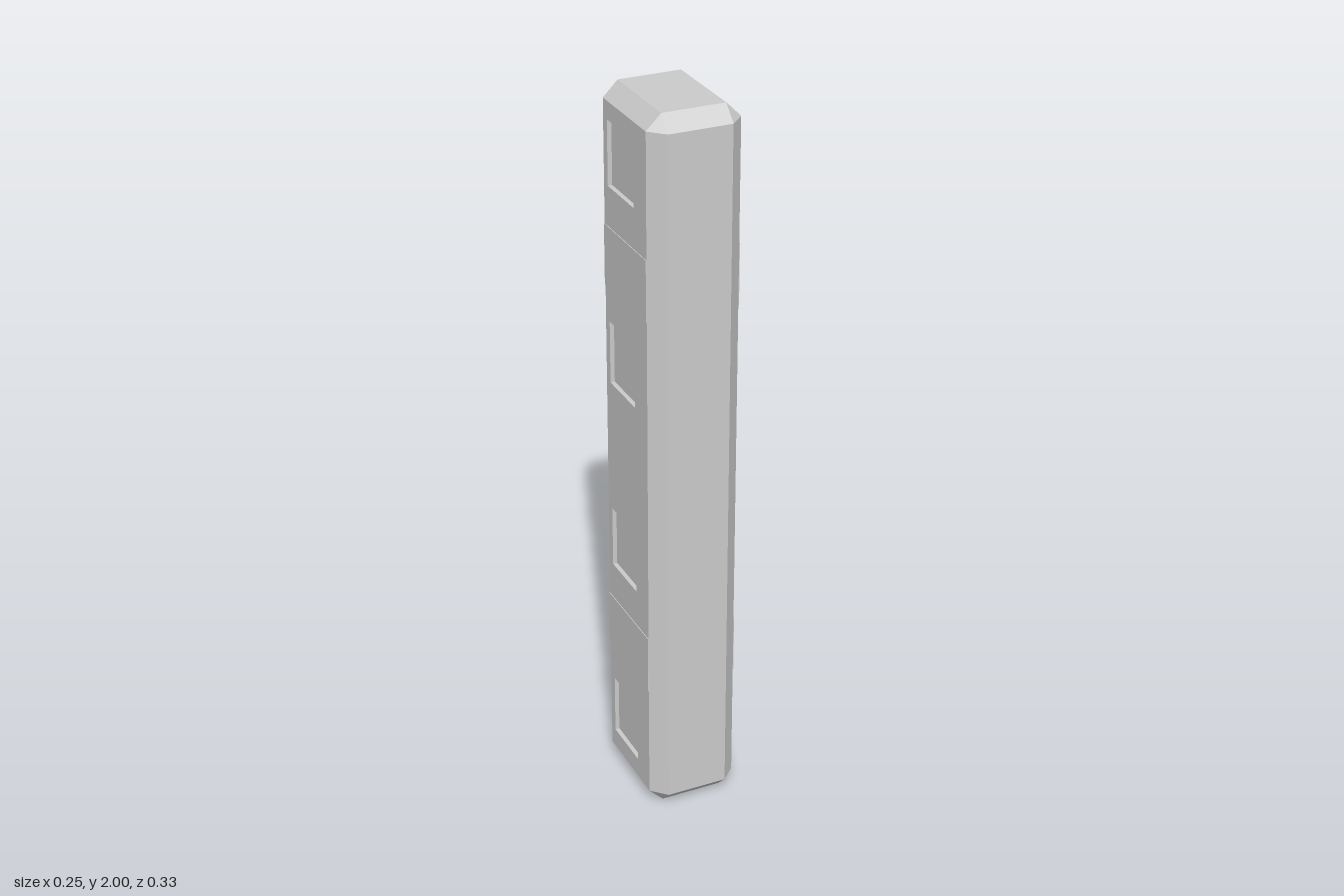
import * as THREE from 'three';
import { ConvexGeometry } from 'three/addons/geometries/ConvexGeometry.js';

const HX = 0.125, HZ = 0.167, HEIGHT = 2, BEVEL = 0.04;
const POCKET = { z: -0.026, width: 0.156, height: 0.174, depth: 0.012 };
const POCKET_Y = [0.183, 0.729, 1.279, 1.825];
const PLATE_Y = [0.454, 1.546];

const material = new THREE.MeshStandardMaterial({ color: 0xcccccc, flatShading: true });

function addMesh(parent, name, geometry) {
  const mesh = new THREE.Mesh(geometry, material);
  mesh.name = name;
  parent.add(mesh);
  return mesh;
}

// Chamfered block, left open on its two flat sides, which get pockets instead
function bodyShell() {
  const points = [], hy = HEIGHT / 2;
  for (const sx of [-1, 1]) for (const sy of [-1, 1]) for (const sz of [-1, 1]) {
    for (let axis = 0; axis < 3; axis++) {
      const inset = (i) => (i === axis ? 0 : BEVEL);
      points.push(new THREE.Vector3(
        sx * (HX - inset(0)), hy + sy * (hy - inset(1)), sz * (HZ - inset(2))));
    }
  }
  const hull = new ConvexGeometry(points);
  const p = hull.getAttribute('position');
  const kept = [];
  for (let i = 0; i < p.count; i += 3) {
    const onSide = [0, 1, 2].every((k) => Math.abs(p.getX(i + k)) > HX - 1e-4);
    if (onSide) continue;
    for (let k = 0; k < 3; k++) kept.push(p.getX(i + k), p.getY(i + k), p.getZ(i + k));
  }
  const geometry = new THREE.BufferGeometry();
  geometry.setAttribute('position', new THREE.Float32BufferAttribute(kept, 3));
  geometry.computeVertexNormals();
  return geometry;
}

function rectangle(path, cx, cy, w, h) {
  path.moveTo(cx - w / 2, cy - h / 2);
  path.lineTo(cx + w / 2, cy - h / 2);
  path.lineTo(cx + w / 2, cy + h / 2);
  path.lineTo(cx - w / 2, cy + h / 2);
  path.closePath();
  return path;
}

// Flat side wall with a hole for every pocket
function sideWall() {
  const shape = rectangle(new THREE.Shape(), 0, HEIGHT / 2, 2 * (HZ - BEVEL), HEIGHT - 2 * BEVEL);
  for (const y of POCKET_Y) {
    shape.holes.push(rectangle(new THREE.Path(), -POCKET.z, y, POCKET.width, POCKET.height));
  }
  return new THREE.ShapeGeometry(shape).rotateY(Math.PI / 2).translate(HX, 0, 0);
}

// Inward-facing box, open towards +x
function pocketLining() {
  const box = new THREE.BoxGeometry(POCKET.depth, POCKET.height, POCKET.width);
  const index = Array.from(box.index.array);
  box.setIndex([...index.slice(0, 6), ...index.slice(12)]);
  box.clearGroups();
  box.scale(-1, 1, 1);
  box.computeVertexNormals();
  return box;
}

function buildSide(name) {
  const side = new THREE.Group();
  side.name = name;
  addMesh(side, 'sideWall', sideWall());
  const lining = pocketLining();
  for (const y of POCKET_Y) {
    addMesh(side, 'pocket', lining).position.set(HX - POCKET.depth / 2, y, POCKET.z);
  }
  // Thin raised plates across the full wall
  const plate = new THREE.BoxGeometry(0.004, 0.167, 2 * (HZ - BEVEL));
  for (const y of PLATE_Y) addMesh(side, 'raisedPlate', plate).position.set(HX, y, 0);
  return side;
}

export function createModel() {
  const model = new THREE.Group();
  model.name = 'chamferedPost';
  addMesh(model, 'body', bodyShell());
  const left = buildSide('leftSide');
  const right = buildSide('rightSide');
  right.scale.x = -1;
  model.add(left, right);
  return model;
}
